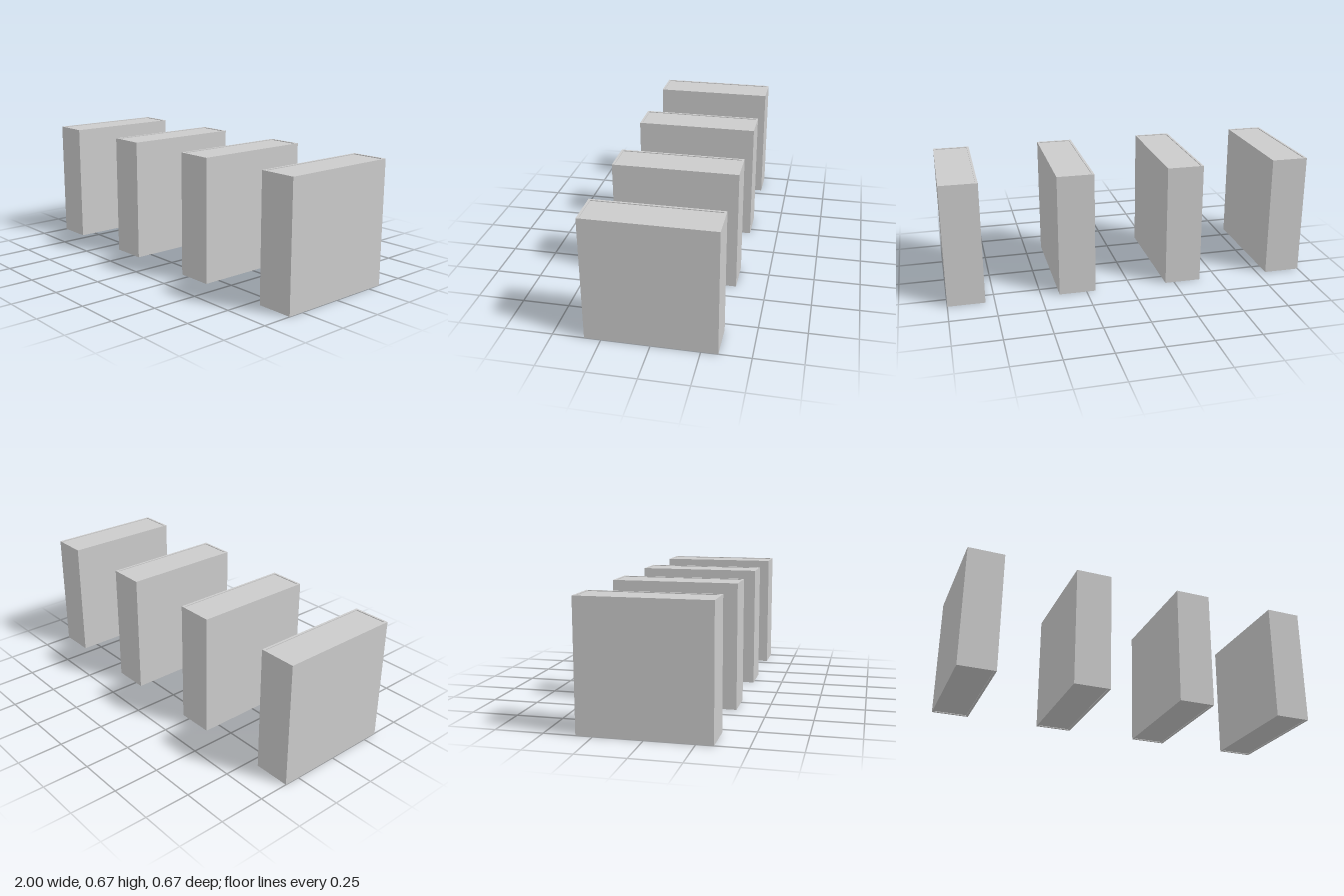
import * as THREE from 'three';

const WIDTH = 0.2, HEIGHT = 0.672, DEPTH = 0.672;
const RIM = 0.012;     // width of the rim around each end panel
const RECESS = 0.004;  // how far the end panels sit below the rim

// Rectangular block whose top and bottom panels are slightly recessed inside a thin rim
function blockGeometry() {
  // Profile from bottom panel to top panel: [inset, y]
  const profile = [
    [RIM, RECESS], [RIM, 0], [0, 0],
    [0, HEIGHT], [RIM, HEIGHT], [RIM, HEIGHT - RECESS],
  ];
  const corners = [[1, 1], [1, -1], [-1, -1], [-1, 1]];
  const rings = profile.map(([inset, y]) => corners.map(([sx, sz]) =>
    [sx * (WIDTH / 2 - inset), y, sz * (DEPTH / 2 - inset)]));

  const positions = [];
  const quad = (a, b, c, d) => positions.push(...a, ...b, ...c, ...a, ...c, ...d);

  // Walls and rims between successive rings
  for (let r = 0; r < rings.length - 1; r++) {
    for (let i = 0; i < 4; i++) {
      const j = (i + 1) % 4;
      quad(rings[r][i], rings[r][j], rings[r + 1][j], rings[r + 1][i]);
    }
  }
  // End panels
  quad(...[...rings[0]].reverse());
  quad(...rings[rings.length - 1]);

  const geometry = new THREE.BufferGeometry();
  geometry.setAttribute('position', new THREE.Float32BufferAttribute(positions, 3));
  geometry.computeVertexNormals();
  return geometry;
}

export function createModel() {
  const model = new THREE.Group();
  model.name = 'blockRow';
  const material = new THREE.MeshStandardMaterial({ color: 0xcccccc, flatShading: true });
  const geometry = blockGeometry();

  // Four evenly spaced upright blocks
  for (let i = 0; i < 4; i++) {
    const block = new THREE.Mesh(geometry, material);
    block.name = `block${i + 1}`;
    block.position.x = -0.9 + i * 0.6;
    model.add(block);
  }
  return model;
}
